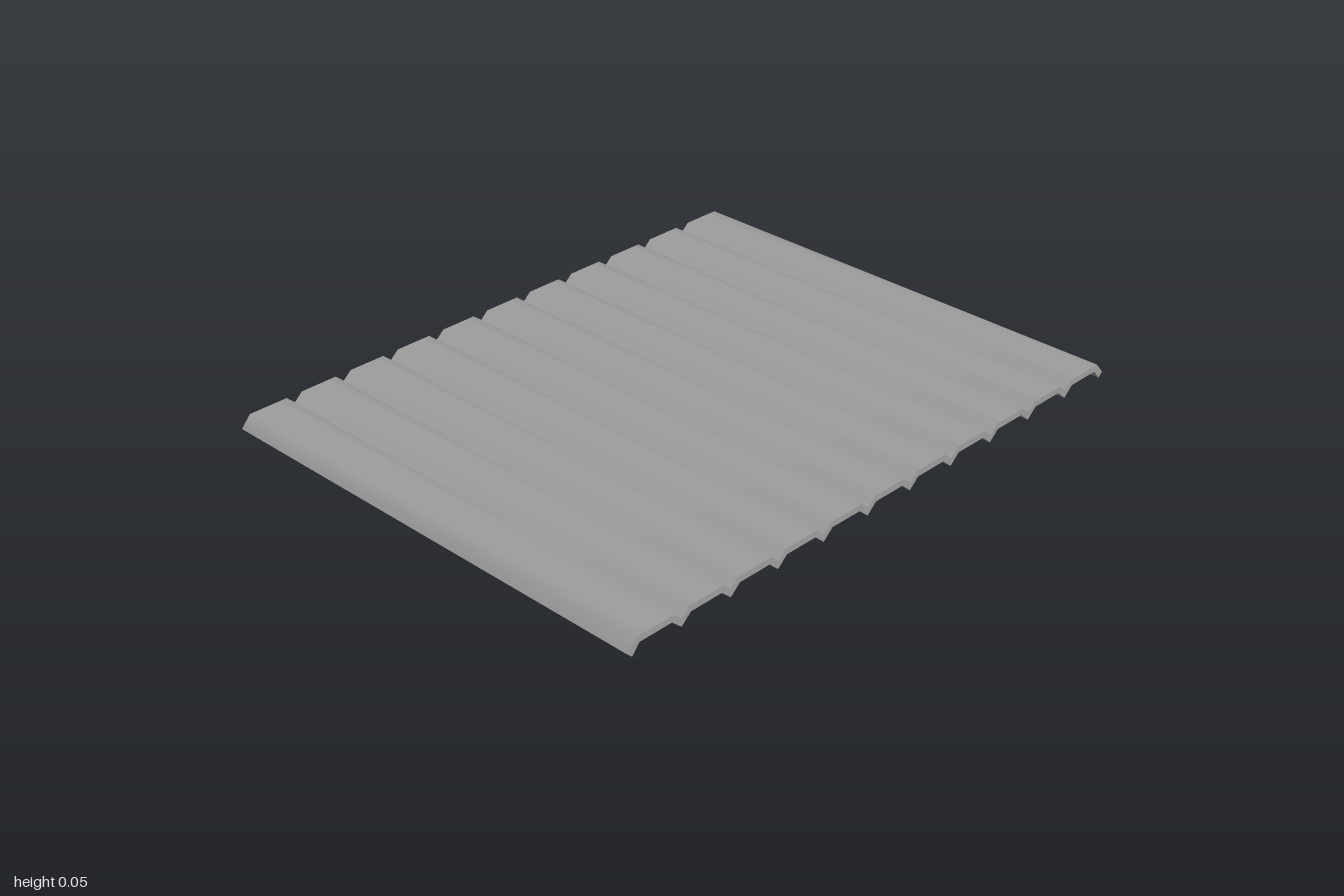
import * as THREE from 'three';
import { toCreasedNormals } from 'three/addons/utils/BufferGeometryUtils.js';

const DEPTH = 1.57;
const PITCH = 0.18;
const GROOVES = 10;
const FLAT = 0.06; // from a groove's centre to where the sheet is fully flat

// V grooves across the sheet, as [x, y] points from left to right
function grooveLine(halfWidth, flatY, tipY) {
  const points = [];
  for (let i = 0; i < GROOVES; i++) {
    const x = (i - (GROOVES - 1) / 2) * PITCH;
    points.push([x - FLAT, flatY], [x - halfWidth, flatY], [x, tipY], [x + halfWidth, flatY], [x + FLAT, flatY]);
  }
  return points;
}

// One face of the sheet: turned-down rim, grooves, turned-down rim
function faceLine(rimX, rimY, foldX, flatY, halfWidth, tipY) {
  return [
    [-rimX, rimY], [-foldX, flatY], [-0.93, flatY],
    ...grooveLine(halfWidth, flatY, tipY),
    [0.93, flatY], [foldX, flatY], [rimX, rimY],
  ];
}

export function createModel() {
  const group = new THREE.Group();
  group.name = 'corrugatedPanel';

  // Closed cross-section: underside left to right, then the top back again
  const underside = faceLine(0.984, 0, 0.957, 0.031, 0.034, 0.001);
  const top = faceLine(1, 0.015, 0.968, 0.051, 0.028, 0.026);
  const outline = [...underside, ...top.reverse()].map(([x, y]) => new THREE.Vector2(x, y));

  // Sheet with soft folds and sharp cut edges
  const geometry = new THREE.ExtrudeGeometry(new THREE.Shape(outline), { depth: DEPTH, bevelEnabled: false });
  geometry.translate(0, 0, -DEPTH / 2);
  const sheet = new THREE.Mesh(
    toCreasedNormals(geometry, THREE.MathUtils.degToRad(86)),
    new THREE.MeshStandardMaterial({ color: 0x9d9d9d })
  );
  sheet.name = 'corrugatedSheet';
  group.add(sheet);
  return group;
}
